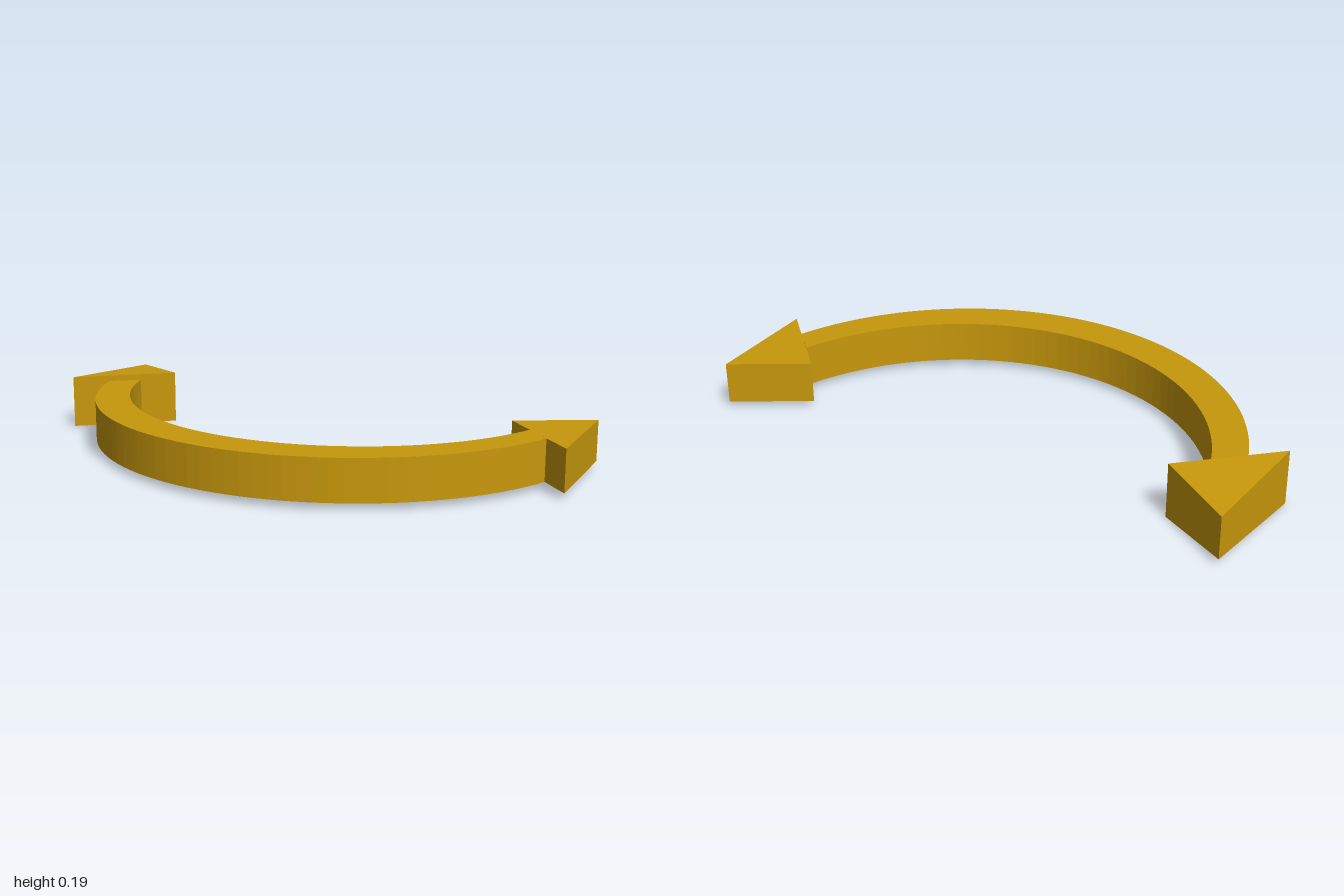
import * as THREE from 'three';

const material = new THREE.MeshStandardMaterial({ color: 0xc8980c });

// Extrude a plan outline of [x, z] points upward from y0 to y1
function slab(name, points, y0, y1) {
  const shape = new THREE.Shape(points.map(([x, z]) => new THREE.Vector2(x, -z)));
  const geometry = new THREE.ExtrudeGeometry(shape, { depth: y1 - y0, bevelEnabled: false });
  geometry.rotateX(-Math.PI / 2).translate(0, y0, 0);
  const mesh = new THREE.Mesh(geometry, material);
  mesh.name = name;
  return mesh;
}

// Circular arc in plan from (-x, z) through (0, front) to (x, z)
function arc(x, z, front, segments = 48) {
  const drop = front - z;
  const radius = (x * x + drop * drop) / (2 * drop);
  const half = Math.atan2(x, z - front + radius);
  return Array.from({ length: segments + 1 }, (_, i) => {
    const a = -half + (2 * half * i) / segments;
    return [radius * Math.sin(a), front - radius + radius * Math.cos(a)];
  });
}

export function createModel() {
  const group = new THREE.Group();
  group.name = 'doubleEndedCurvedArrow';
  const low = 0.023, high = 0.173;

  // Curved shaft between an outer and an inner arc
  const outer = arc(0.898, -0.158, 0.497);
  const inner = arc(0.807, -0.242, 0.348);
  group.add(slab('curvedShaft', [...outer, ...inner.reverse()], low, high));

  // Left head, flush with the shaft
  const head = [[1, -0.063], [0.965, -0.497], [0.708, -0.335]];
  group.add(slab('leftArrowHead', head, low, high));

  // Right head, taller at its base and tapering to shaft height at the tip
  const tall = slab('rightArrowHead', head.map(([x, z]) => [-x, z]), 0, 0.195);
  const p = tall.geometry.attributes.position;
  for (let i = 0; i < p.count; i++) {
    if (p.getZ(i) < -0.45) p.setY(i, p.getY(i) < 0.1 ? low : high);
  }
  tall.geometry.computeVertexNormals();
  group.add(tall);

  return group;
}
